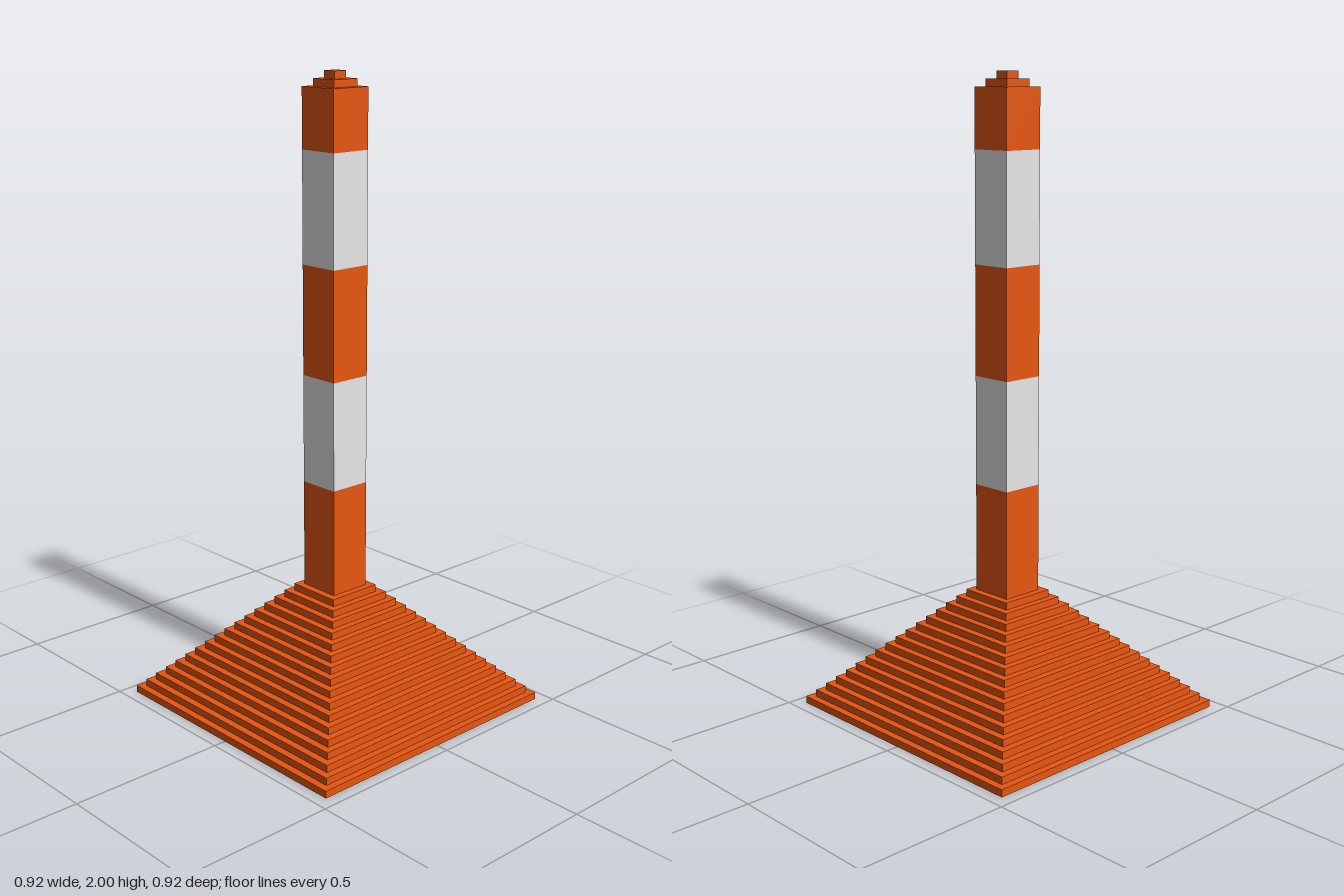
import * as THREE from 'three';

const U = 2 / 87; // one block unit: the model is 87 units tall

export function createModel() {
  const orange = new THREE.MeshStandardMaterial({ color: 0xf45c13 });
  orange.name = 'orange';
  const white = new THREE.MeshStandardMaterial({ color: 0xf4f4f4 });
  white.name = 'white';

  const model = new THREE.Group();
  model.name = 'stripedMarkerPost';

  // Square slab given by half width, bottom and top, all in units
  function slab(parent, name, half, bottom, top, material) {
    const geometry = new THREE.BoxGeometry(2 * half * U, (top - bottom) * U, 2 * half * U);
    const mesh = new THREE.Mesh(geometry, material);
    mesh.name = name;
    mesh.position.y = ((bottom + top) / 2) * U;
    parent.add(mesh);
  }

  // Stepped pyramid base; only its underside is white
  const base = new THREE.Group();
  base.name = 'base';
  model.add(base);
  const bottomStep = [orange, orange, orange, white, orange, orange];
  for (let i = 0; i < 17; i++) {
    slab(base, `baseStep${i + 1}`, 20 - i, i, i + 1, i === 0 ? bottomStep : orange);
  }

  // Square post in alternating bands
  const post = new THREE.Group();
  post.name = 'post';
  model.add(post);
  const levels = [17, 32, 47, 62, 77, 85];
  for (let i = 0; i < levels.length - 1; i++) {
    slab(post, `postBand${i + 1}`, 3, levels[i], levels[i + 1], i % 2 ? white : orange);
  }

  // Stepped cap
  const cap = new THREE.Group();
  cap.name = 'cap';
  model.add(cap);
  slab(cap, 'capStep1', 2, 85, 86, orange);
  slab(cap, 'capStep2', 1, 86, 87, orange);

  return model;
}
